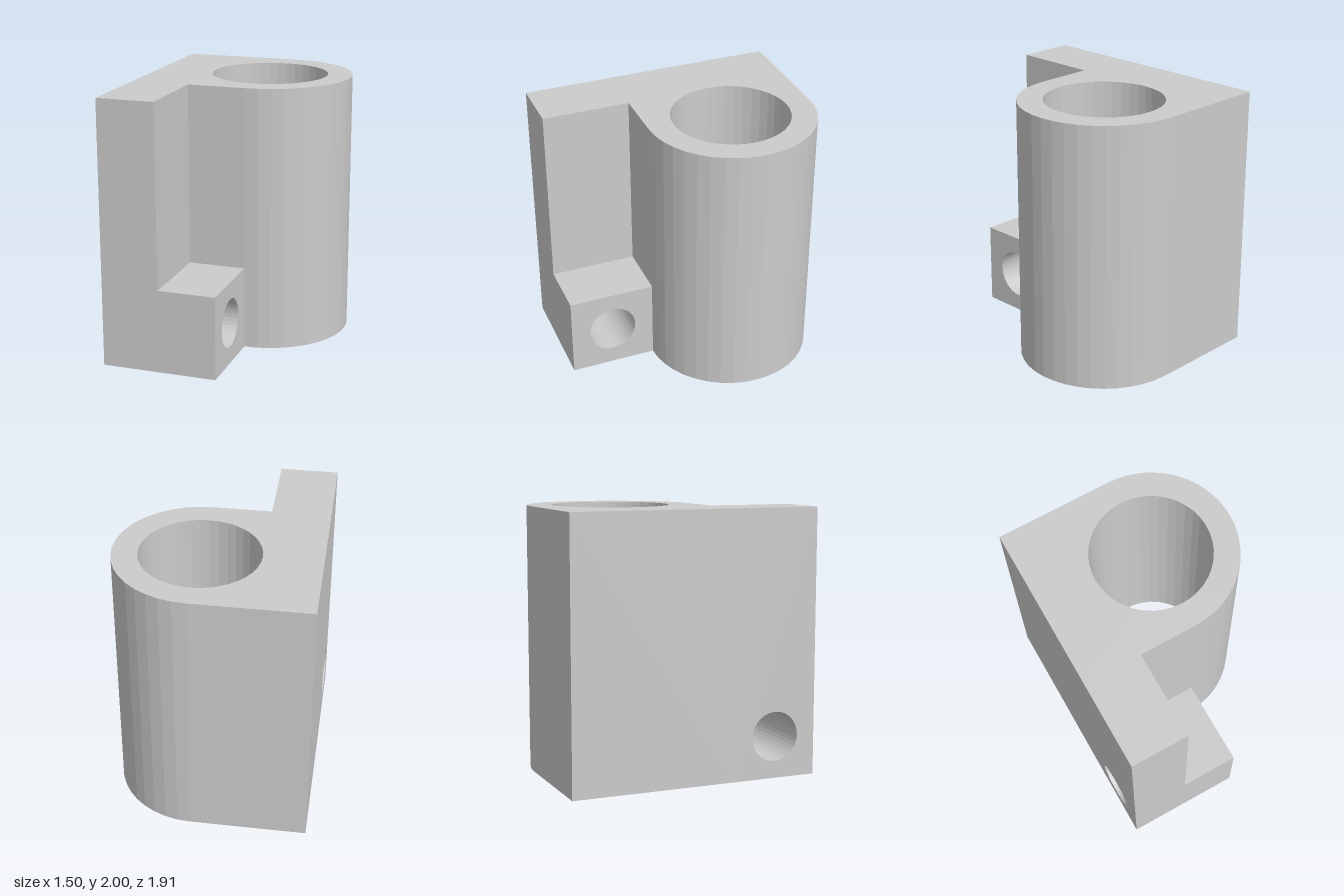
import * as THREE from 'three';

const LEFT = -0.75;                      // flat mounting face
const BACK = -0.955, FRONT = 0.955;
const HEIGHT = 2;
const BORE = { x: 0.12, z: -0.327, outer: 0.628, inner: 0.44 };
const STEP_Z = BORE.z + BORE.outer;      // front side of the bored housing
const FLANGE_X = -0.315;
const LUG = { height: 0.63, holeY: 0.315, holeZ: 0.63, holeR: 0.185 };

const material = new THREE.MeshStandardMaterial({ color: 0xcccccc, flatShading: true });

// Circular hole from two half arcs, 20 facets each
function addHole(shape, x, y, r) {
  const hole = new THREE.Path();
  hole.absarc(x, y, r, 0, Math.PI, false);
  hole.absarc(x, y, r, Math.PI, Math.PI * 2, false);
  shape.holes.push(hole);
}

function extrude(name, shape, depth) {
  const geometry = new THREE.ExtrudeGeometry(shape, { depth, curveSegments: 10, bevelEnabled: false });
  const mesh = new THREE.Mesh(geometry, material);
  mesh.name = name;
  return mesh;
}

// Block extruded along x, with the cross hole running through it
function crossDrilledBlock(name, x0, x1, height) {
  const shape = new THREE.Shape();
  shape.moveTo(-FRONT, 0);
  shape.lineTo(-STEP_Z, 0);
  shape.lineTo(-STEP_Z, height);
  shape.lineTo(-FRONT, height);
  shape.closePath();
  addHole(shape, -LUG.holeZ, LUG.holeY, LUG.holeR);
  const mesh = extrude(name, shape, x1 - x0);
  mesh.geometry.rotateY(Math.PI / 2).translate(x0, 0, 0);
  return mesh;
}

export function createModel() {
  const group = new THREE.Group();
  group.name = 'boredBracket';

  // Housing: flat on the left, half round on the right, vertical bore
  const plan = new THREE.Shape();
  plan.moveTo(LEFT, -STEP_Z);
  plan.lineTo(BORE.x, -STEP_Z);
  plan.absarc(BORE.x, -BORE.z, BORE.outer, -Math.PI / 2, Math.PI / 2, false);
  plan.lineTo(LEFT, -BACK);
  plan.closePath();
  addHole(plan, BORE.x, -BORE.z, BORE.inner);
  const housing = extrude('housing', plan, HEIGHT);
  housing.geometry.rotateX(-Math.PI / 2);
  group.add(housing);

  // Full-height flange and the low lug beside it share the cross hole
  group.add(crossDrilledBlock('flange', LEFT, FLANGE_X, HEIGHT));
  group.add(crossDrilledBlock('lug', FLANGE_X, BORE.x, LUG.height));

  return group;
}
